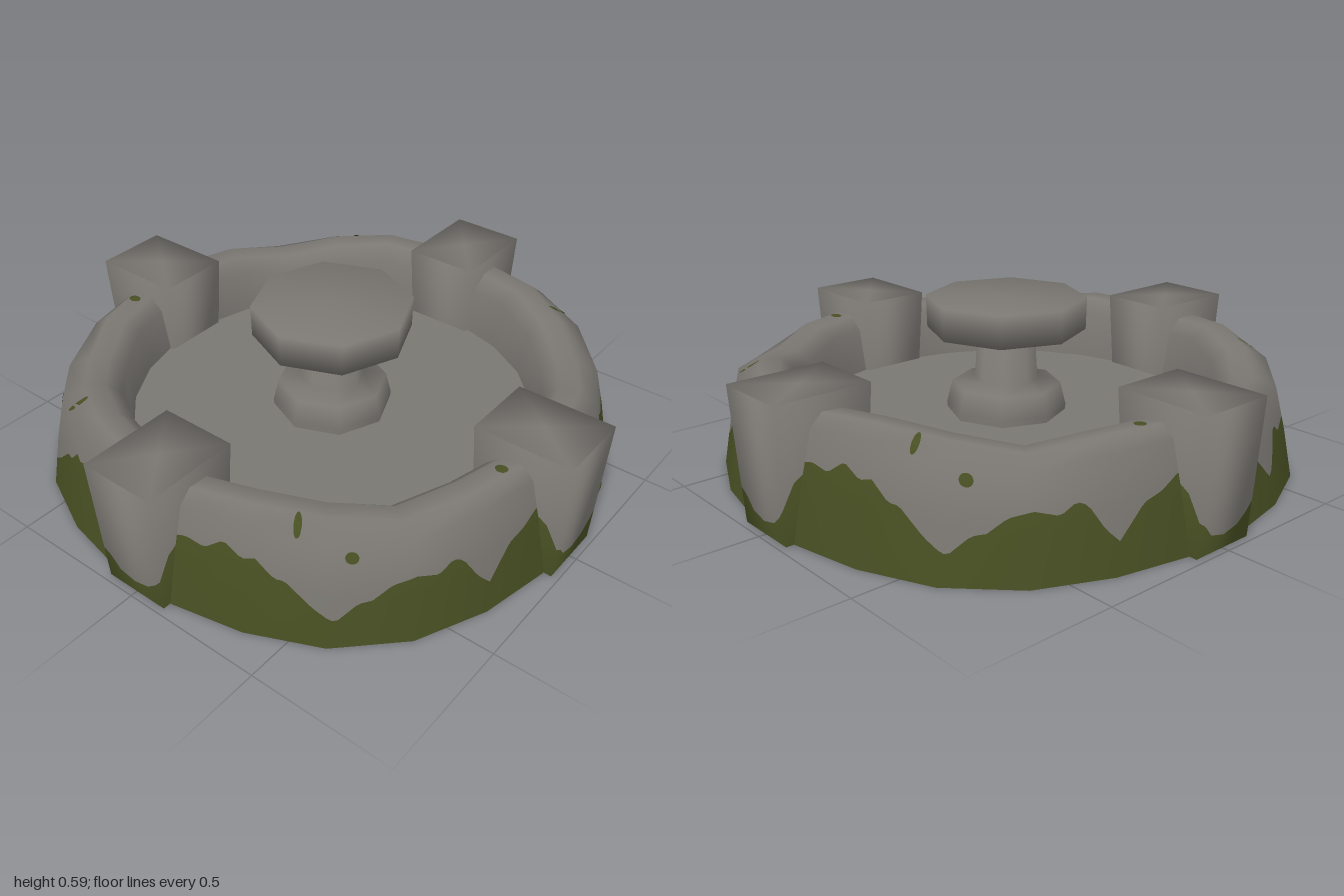
import * as THREE from 'three';

const stone = new THREE.MeshStandardMaterial({ color: 0x7a7772, side: THREE.DoubleSide });
stone.name = 'stone';
const moss = new THREE.MeshStandardMaterial({ color: 0x474e22, side: THREE.DoubleSide });
moss.name = 'moss';

const V = (x, y, z) => new THREE.Vector3(x, y, z);

// Linear lookup in a list of [key, value] pairs
function lookup(table, x) {
  for (let i = 1; i < table.length; i++) {
    const [x0, y0] = table[i - 1], [x1, y1] = table[i];
    if (x <= x1) return y0 + (y1 - y0) * Math.max(0, (x - x0) / (x1 - x0));
  }
  return table[table.length - 1][1];
}

// Smooth-shaded surface stretched over corner(k, i): k runs around, i along the profile
function surface(corner, last) {
  const normal = (k, i) => {
    const around = corner(k + 1, i).sub(corner(k - 1, i));
    const along = corner(k, Math.min(i + 1, last)).sub(corner(k, Math.max(i - 1, 0)));
    return around.cross(along).normalize();
  };
  const blend = (f, u, t) => {
    const k = Math.floor(u), i = Math.min(Math.floor(t), last - 1);
    const low = f(k, i).lerp(f(k + 1, i), u - k);
    return low.lerp(f(k, i + 1).lerp(f(k + 1, i + 1), u - k), t - i);
  };
  return (u, t) => ({ p: blend(corner, u, t), n: blend(normal, u, t).normalize() });
}

// Patch of a surface between two profile limits, which may vary around it
function band(name, material, surf, [u0, u1], cols, from, to, rows, lift = 0) {
  const pos = [], nor = [], index = [];
  for (let c = 0; c <= cols; c++) {
    const u = u0 + (u1 - u0) * c / cols, a = from(u), b = to(u);
    for (let r = 0; r <= rows; r++) {
      const { p, n } = surf(u, a + (b - a) * r / rows);
      p.addScaledVector(n, lift);
      pos.push(p.x, p.y, p.z);
      nor.push(n.x, n.y, n.z);
      if (c < cols && r < rows) {
        const q = c * (rows + 1) + r, s = q + rows + 1;
        index.push(q, s, s + 1, q, s + 1, q + 1);
      }
    }
  }
  const g = new THREE.BufferGeometry();
  g.setAttribute('position', new THREE.Float32BufferAttribute(pos, 3));
  g.setAttribute('normal', new THREE.Float32BufferAttribute(nor, 3));
  g.setIndex(index);
  const mesh = new THREE.Mesh(g, material);
  mesh.name = name;
  return mesh;
}

// Surface with a regular polygon section and a [radius, y] profile
function prism(sides, profile) {
  return surface((k, i) => {
    const a = k / sides * Math.PI * 2, [r, y] = profile[i];
    return V(r * Math.sin(a), y, r * Math.cos(a));
  }, profile.length - 1);
}

const at = (v) => () => v;

// Uneven basin wall: 24 sides, mirrored in every quadrant
const RADII = [0.955, 0.97, 0.995, 0.995, 0.97, 0.955];
const HEIGHTS = [0.39, 0.385, 0.35, 0.385, 0.41, 0.40];
const MOSS = [[0, 0.22], [8, 0.25], [12, 0.21], [16, 0.19], [21.5, 0.1], [24, 0.14], [27, 0.22], [29, 0.235],
  [32, 0.205], [37, 0.235], [41, 0.21], [44.5, 0.16], [47, 0.15], [51, 0.09], [55, 0.13], [60, 0.2],
  [62, 0.2], [65.5, 0.25], [68, 0.24], [72, 0.275], [76, 0.235], [80, 0.25], [90, 0.22]];

function basin() {
  const group = new THREE.Group();
  group.name = 'basin';
  const fold = (k) => {
    const m = ((k % 12) + 12) % 12;
    return m < 6 ? m : 11 - m;
  };
  const wall = surface((k, i) => {
    const R = RADII[fold(k)], H = HEIGHTS[fold(k)], a = (7.5 + 15 * k) * Math.PI / 180;
    const [r, y] = [[R, 0], [R * 0.965, H * 0.5], [R * 0.93, H * 0.9], [0.85, H],
      [0.78, H - 0.005], [0.73, H * 0.87], [0.705, 0.18], [0.70, 0]][i];
    return V(r * Math.sin(a), y, r * Math.cos(a));
  }, 7);
  // Ragged moss line, as a position along the wall profile
  const line = (u) => {
    const d = (((7.5 + 15 * u) % 180) + 180) % 180;
    const y = lookup(MOSS, d < 90 ? d : 180 - d);
    return y < 0.19 ? y / 0.19 : 1 + (y - 0.19) / 0.152;
  };
  const all = [0, 24];
  group.add(band('wallMoss', moss, wall, all, 360, at(0), line, 4));
  group.add(band('wallStone', stone, wall, all, 360, line, at(2), 4));
  group.add(band('rim', stone, wall, all, 24, at(2), at(7), 5));

  // Small moss spots: angle, profile position, half width, half height
  for (const [deg, t, w, h] of [[48, 1.75, 1.3, 0.13], [58, 2.5, 0.8, 0.5], [13, 3.4, 1.3, 0.3]]) {
    for (const a of [deg, 180 - deg, 180 + deg, 360 - deg]) {
      const mid = (a - 7.5) / 15, half = w / 15;
      const arc = (u) => h * Math.sqrt(Math.max(0, 1 - ((u - mid) / half) ** 2));
      group.add(band('mossSpot', moss, wall, [mid - half, mid + half], 10,
        (u) => t - arc(u), (u) => t + arc(u), 4, 0.003));
    }
  }

  const floor = new THREE.Mesh(new THREE.CircleGeometry(0.715, 24).rotateX(-Math.PI / 2), stone);
  floor.name = 'basinFloor';
  floor.position.y = 0.18;
  group.add(floor);
  return group;
}

// Tapered block with a closed top, open below; local +z faces outwards
function pillar() {
  const group = new THREE.Group();
  group.name = 'pillar';
  const block = surface((k, i) => {
    const a = (k + 0.5) * Math.PI / 2;
    const [hx, y, hz] = [[0.118, 0, 0.145], [0.135, 0.455, 0.17], [1e-4, 0.455, 1e-4]][i];
    return V(Math.sign(Math.sin(a)) * hx, y, Math.sign(Math.cos(a)) * hz);
  }, 2);
  const heights = [[0, 0.12], [0.15, 0.2], [0.4, 0.25], [0.6, 0.2], [1, 0.15], [1.5, 0.1], [2, 0.15], [2.4, 0.2],
    [2.6, 0.25], [2.85, 0.2], [3, 0.12], [3.12, 0.1], [3.25, 0.06], [3.5, 0.045], [3.75, 0.06], [3.9, 0.09], [4, 0.12]];
  const line = (u) => lookup(heights, u) / 0.455;
  group.add(band('pillarMoss', moss, block, [0, 4], 80, at(0), line, 2));
  group.add(band('pillarStone', stone, block, [0, 4], 80, line, at(1), 3));
  group.add(band('pillarTop', stone, block, [0, 4], 4, at(1), at(2), 1));
  return group;
}

// Octagonal pedestal with a floating cap stone
function centrepiece() {
  const group = new THREE.Group();
  group.name = 'centrepiece';
  const pedestal = prism(8, [[0.195, 0.07], [0.21, 0.2], [0.19, 0.28], [0.11, 0.295], [0.10, 0.455], [1e-4, 0.455]]);
  const line = (u) => 0.2 + 0.1 * Math.sin(u * Math.PI * 1.25);
  group.add(band('pedestalMoss', moss, pedestal, [0, 8], 64, at(0), line, 1));
  group.add(band('pedestalFoot', stone, pedestal, [0, 8], 64, line, at(1), 1));
  group.add(band('pedestalColumn', stone, pedestal, [0, 8], 8, at(1), at(5), 4));
  const cap = prism(8, [[1e-4, 0.475], [0.275, 0.475], [0.278, 0.588], [1e-4, 0.588]]);
  group.add(band('capStone', stone, cap, [0, 8], 8, at(0), at(3), 3));
  return group;
}

export function createModel() {
  const model = new THREE.Group();
  model.name = 'stoneFountain';
  model.add(basin(), centrepiece());
  for (let i = 0; i < 4; i++) {
    const p = pillar(), a = i * Math.PI / 2;
    p.rotation.y = a;
    p.position.set(0.83 * Math.sin(a), 0, 0.83 * Math.cos(a));
    model.add(p);
  }
  return model;
}
